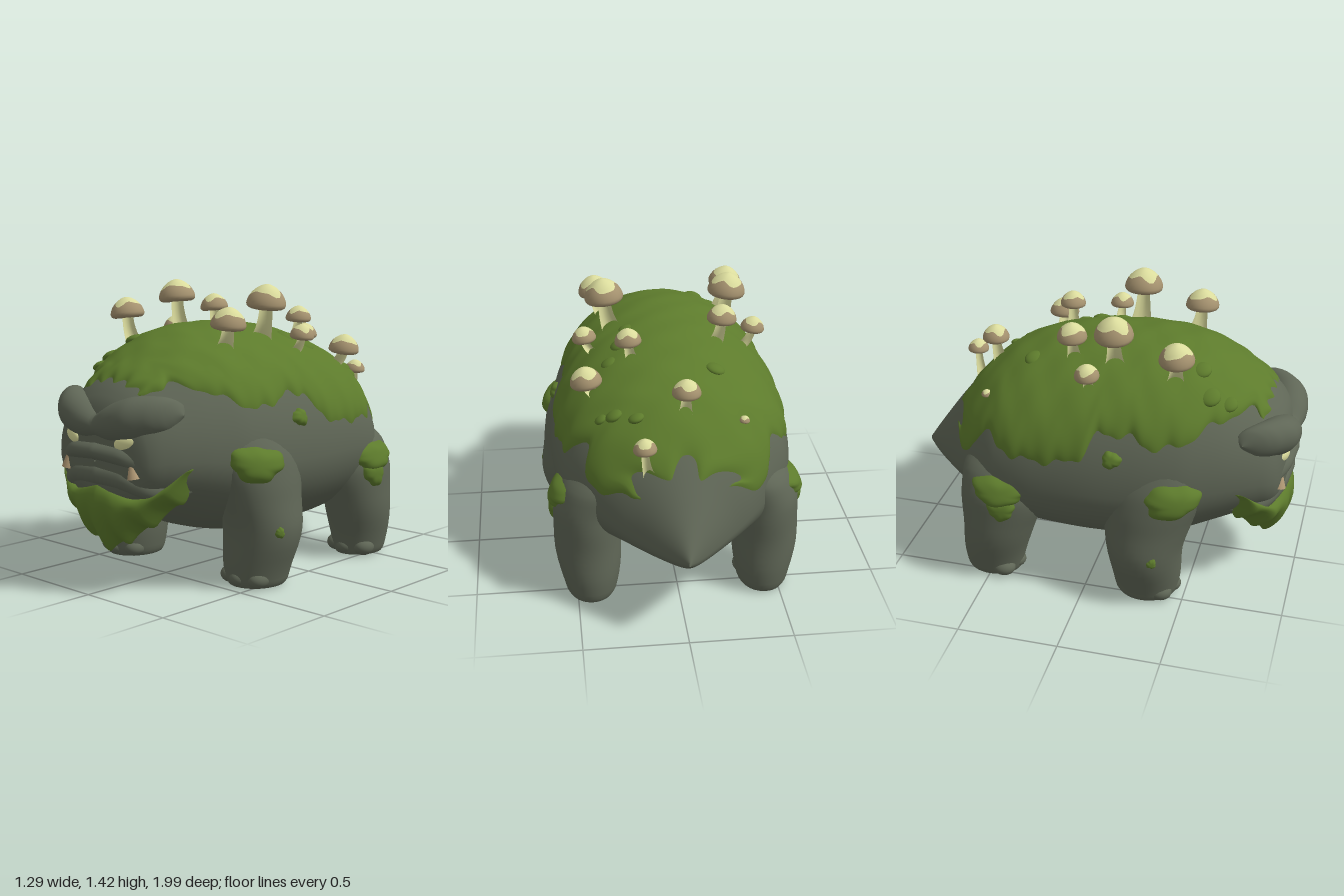
import * as THREE from 'three';
import { mergeVertices } from 'three/addons/utils/BufferGeometryUtils.js';

const mat = (name, color, side = THREE.FrontSide) => {
  const m = new THREE.MeshStandardMaterial({ color, side });
  m.name = name;
  return m;
};
const stone = mat('stone', 0x5f6656, THREE.DoubleSide);
const moss = mat('moss', 0x5d7b2c, THREE.DoubleSide);
const cream = mat('cream', 0xdadb9c);
const capBrown = mat('capBrown', 0xa5926f);
const tuskTan = mat('tuskTan', 0xb29a76);

// Smooth monotone lookup in a table of rows keyed by ascending column 0
function row(tab, k) {
  k = THREE.MathUtils.clamp(k, tab[0][0], tab.at(-1)[0]);
  let i = 0;
  while (i < tab.length - 2 && k > tab[i + 1][0]) i++;
  const sec = (j, c) => (tab[j + 1][c] - tab[j][c]) / (tab[j + 1][0] - tab[j][0]);
  const slope = (j, c) => {
    if (j === 0) return sec(0, c);
    if (j === tab.length - 1) return sec(j - 1, c);
    const a = sec(j - 1, c), b = sec(j, c);
    return a * b <= 0 ? 0 : 2 * a * b / (a + b);
  };
  const h = tab[i + 1][0] - tab[i][0], t = (k - tab[i][0]) / h, s = 1 - t;
  return tab[i].map((p, c) => c === 0 ? k :
    p * (1 + 2 * t) * s * s + h * slope(i, c) * t * s * s +
    tab[i + 1][c] * t * t * (3 - 2 * t) - h * slope(i + 1, c) * t * t * s);
}
// Key for v = 0..1 running from the last row to the first
function keyAt(tab, v) {
  const f = (1 - v) * (tab.length - 1), i = Math.min(Math.floor(f), tab.length - 2);
  return THREE.MathUtils.lerp(tab[i][0], tab[i + 1][0], f - i);
}
// Smooth surface from a rule fn(u, v) -> [x, y, z]
function sheet(fn, nu, nv) {
  const pos = [], idx = [];
  for (let j = 0; j <= nv; j++) for (let i = 0; i <= nu; i++) pos.push(...fn(i / nu, j / nv));
  for (let j = 0; j < nv; j++) for (let i = 0; i < nu; i++) {
    const a = j * (nu + 1) + i, d = a + nu + 1;
    idx.push(a, a + 1, d + 1, a, d + 1, d);
  }
  let g = new THREE.BufferGeometry();
  g.setAttribute('position', new THREE.Float32BufferAttribute(pos, 3));
  g.setIndex(idx);
  g = mergeVertices(g, 1e-5);
  g.computeVertexNormals();
  return g;
}

// Body sections: z, half width, top, bottom, height of the widest point
const BODY = [
  [-1, .005, .445, .425, .435], [-.95, .06, .52, .385, .43], [-.88, .14, .62, .36, .44],
  [-.8, .23, .73, .34, .46], [-.72, .33, .83, .325, .5], [-.6, .45, .955, .28, .55],
  [-.45, .55, 1.065, .22, .58], [-.25, .59, 1.145, .18, .6], [0, .6, 1.195, .17, .6],
  [.25, .585, 1.208, .19, .6], [.45, .55, 1.185, .24, .61], [.6, .49, 1.13, .3, .63],
  [.72, .43, 1.06, .35, .64], [.82, .37, .995, .38, .64], [.89, .31, .925, .42, .63],
  [.93, .2, .84, .48, .63], [.945, .005, .64, .62, .63]];
// Angle a runs from the top of the back towards +x
function bodyPoint(z, a, off = 0) {
  const [, w, top, bot, cy] = row(BODY, z), c = Math.cos(a), s = Math.sin(a);
  return [(w + off) * s, cy + c * ((c > 0 ? top - cy : cy - bot) + off), z];
}
const backHeight = (x, z) => {
  const [, w, top, , cy] = row(BODY, z);
  return cy + (top - cy) * Math.sqrt(Math.max(0, 1 - (x / w) ** 2));
};

// Legs: y, centre x, half width x, centre z, half depth z
const FRONT_LEG = [
  [0, .43, .002, .305, .002], [.004, .43, .13, .305, .145], [.05, .43, .15, .305, .163],
  [.28, .455, .192, .295, .19], [.45, .455, .172, .31, .222], [.6, .44, .165, .33, .25],
  [.75, .38, .16, .35, .22], [.85, .32, .06, .35, .1]];
const HIND_LEG = [
  [0, .43, .002, -.5, .002], [.004, .43, .11, -.5, .135], [.05, .43, .13, -.5, .15],
  [.28, .44, .165, -.465, .185], [.45, .44, .165, -.44, .215], [.58, .4, .165, -.435, .215],
  [.7, .32, .13, -.42, .16], [.76, .27, .05, -.42, .06]];
function legPoint(tab, s, y, a, off = 0) {
  const [, cx, rx, cz, rz] = row(tab, y);
  return [s * (cx + (rx + off) * Math.cos(a)), y, cz + s * (rz + off) * Math.sin(a)];
}
// Wobbly moss blob on a surface rule surf(p, q, offset)
const patch = (surf, p, q, rp, rq, thick = .022) => sheet((u, v) => {
  const a = u * 2 * Math.PI;
  const r = v * (1 + .1 * Math.sin(3 * a + p * 9) + .05 * Math.sin(7 * a + q * 5));
  return surf(p + rp * r * Math.cos(a), q + rq * r * Math.sin(a), thick * (1 - v ** 4) - .008 * v ** 4);
}, 40, 10);

// Symmetric bars across the face: distance from middle, centre y, centre z, half height, half depth
const BROW = [[0, .79, .885, .06, .085], [.1, .812, .895, .09, .095], [.2, .835, .88, .1, .1],
  [.3, .85, .815, .088, .095], [.345, .852, .77, .065, .075], [.375, .852, .74, .002, .002]];
const UPPER_LIP = [[0, .67, .885, .05, .09], [.15, .66, .87, .055, .09], [.25, .63, .835, .06, .08],
  [.33, .585, .78, .05, .065], [.38, .55, .72, .002, .002]];
const LOWER_LIP = [[0, .56, .87, .065, .09], [.15, .55, .86, .065, .085], [.25, .52, .82, .062, .085],
  [.33, .495, .765, .05, .07], [.39, .5, .69, .002, .002]];
const bar = tab => sheet((u, v) => {
  const x = (v * 2 - 1) * tab.at(-1)[0], a = u * 2 * Math.PI;
  const [, y, z, ry, rz] = row(tab, Math.abs(x));
  return [x, y + ry * Math.cos(a), z + rz * Math.sin(a)];
}, 24, 56);

export function createModel() {
  const model = new THREE.Group();
  const add = (name, geo, material, parent = model) => {
    const m = new THREE.Mesh(geo, material);
    m.name = name;
    parent.add(m);
    return m;
  };
  const blob = (name, material, p, r, rot = [0, 0, 0]) => {
    const m = add(name, new THREE.SphereGeometry(1, 24, 16), material);
    m.position.set(...p);
    m.scale.set(...r);
    m.rotation.set(...rot);
  };

  add('body', sheet((u, v) => bodyPoint(keyAt(BODY, v), u * 2 * Math.PI), 56, 64), stone);

  // Moss blanket over the back with a lobed hem: z, hem height
  const HEM = [[-.82, .66], [-.74, .67], [-.66, .61], [-.58, .69], [-.51, .81], [-.42, .73], [-.2, .72],
    [0, .77], [.08, .89], [.2, .89], [.35, .84], [.48, .87], [.6, .94], [.72, .97], [.86, .92]];
  add('mossBlanket', sheet((u, v) => {
    const t = u * 2 - 1, side = Math.sign(t);
    const z = THREE.MathUtils.lerp(.835 + .012 * Math.sin(t * 15), -.75 + .035 * Math.sin(t * 9 + 2), v);
    const [, , top, , cy] = row(BODY, z);
    const y = row(HEM, z)[1] + .014 * Math.sin(z * 37 + side) + .007 * Math.sin(z * 71 + side * 2);
    const edge = Math.acos(THREE.MathUtils.clamp((y - cy) / (top - cy), -1, 1));
    const fall = Math.max(Math.abs(t) ** 14, Math.abs(2 * v - 1) ** 40);
    return bodyPoint(z, t * edge, .02 - .03 * fall + .003 * Math.sin(z * 31) * Math.sin(t * 13));
  }, 60, 130), moss);
  // Tufts
  for (const [x, z, r] of [[-.2, -.33, .05], [.24, -.1, .05], [.3, -.5, .045], [.2, -.55, .04], [-.2, .5, .05],
    [-.3, .56, .055], [-.28, .65, .045], [.2, .02, .04], [.36, -.48, .035], [.3, -.2, .045]])
    blob('mossTuft', moss, [x, backHeight(x, z) + .008, z], [r, r * .5, r], [0, 0, -x * 1.6]);

  for (const s of [1, -1]) {
    const side = s > 0 ? 'left' : 'right';
    for (const [part, tab] of [['FrontLeg', FRONT_LEG], ['HindLeg', HIND_LEG]]) {
      add(side + part, sheet((u, v) => legPoint(tab, s, keyAt(tab, v), u * 2 * Math.PI), 36, 35), stone);
      const [, cx, , cz, rz] = row(tab, .05);
      for (const k of [-1, 0, 1])
        blob(side + part + 'Toe', stone, [s * (cx + k * .085), .045, cz + rz - .048 - .03 * k * k], [.052, .044, .06]);
    }
    // Moss on shoulders, hips and flanks
    const fore = (y, a, o) => legPoint(FRONT_LEG, s, y, a, o);
    const hind = (y, a, o) => legPoint(HIND_LEG, s, y, a, o);
    add(side + 'ShoulderMoss', patch(fore, .615, s * .58, .088, .68, .035), moss);
    add(side + 'LegMoss', patch(fore, .285, s * .4, .03, .14, .012), moss);
    add(side + 'HipMoss', patch(hind, .54, s * .12, .075, .75, .035), moss);
    add(side + 'HipMossDrip', patch(hind, .45, s * .2, .07, .35, .022), moss);
    add(side + 'FlankMoss', patch((z, a, o) => bodyPoint(z, a, o), .15, s * 1.24, .05, .075), moss);

    // Eyes and tusks
    blob(side + 'Eye', cream, [s * .183, .724, .913], [.066, .036, .024], [0, s * .3, s * .2]);
    const tusk = add(side + 'Tusk', new THREE.CylinderGeometry(.016, .034, .066, 12), tuskTan);
    tusk.position.set(s * .223, .597, .91);
    tusk.rotation.z = s * .2;
  }
  add('brow', bar(BROW), stone);
  add('upperLip', bar(UPPER_LIP), stone);
  add('lowerLip', bar(LOWER_LIP), stone);

  // Beard, a row of closed cross-sections from side to side
  const BEARD_TOP = [[0, .52], [.1, .49], [.2, .465], [.3, .5], [.37, .56], [.43, .62]];
  add('mossBeard', sheet((u, v) => {
    const x = (v * 2 - 1) * .425, ax = Math.abs(x), a = u * 2 * Math.PI;
    const top = row(BEARD_TOP, ax)[1];
    const hang = .18 + .3 * (ax / .4) ** 1.5 + .035 * Math.abs(Math.sin(x * 26));
    const bottom = THREE.MathUtils.lerp(hang, top - .01, THREE.MathUtils.smoothstep(ax, .36, .425));
    const low = (1 - Math.cos(a)) / 2, thin = Math.sqrt(Math.max(0, 1 - (ax / .425) ** 8));
    return [x, (top + bottom) / 2 + (top - bottom) / 2 * Math.cos(a),
      .915 - .96 * x * x - .07 * low * low + thin * .065 * Math.sin(a) * (1 - .3 * low) + .01 * low * Math.cos(x * 52)];
  }, 24, 90), moss);

  // Mushrooms: x, z, cap radius, cap top
  const MUSHROOMS = [
    [.18, -.77, .055, .97], [-.03, -.59, .068, 1.17], [.42, -.36, .077, 1.15], [.21, -.25, .065, 1.29],
    [-.26, -.12, .073, 1.34], [-.435, 0, .06, 1.22], [.41, -.04, .06, 1.22], [.3, .1, .097, 1.415],
    [-.315, .1, .094, 1.42], [.33, .4, .085, 1.32], [-.355, .41, .085, 1.34], [-.31, -.55, .026, .95]];
  MUSHROOMS.forEach(([x, z, r, top], n) => {
    const g = new THREE.Group();
    g.name = 'mushroom';
    model.add(g);
    const h = r, bx = x * .84, bz = z * .96, y = top - h;
    const base = new THREE.Vector3(bx, backHeight(bx, bz) - .02, bz);
    const tip = new THREE.Vector3(x, y + h * .2, z);
    const bend = new THREE.Vector3(x, THREE.MathUtils.lerp(base.y, tip.y, .4), z);
    const path = new THREE.QuadraticBezierCurve3(base, bend, tip);
    add('stem', sheet((u, v) => {
      const p = path.getPoint(1 - v), a = u * 2 * Math.PI, q = r * (.32 + .28 * v * v);
      return [p.x + q * Math.sin(a), p.y, p.z + q * Math.cos(a)];
    }, 14, 10), cream, g);
    const cap = new THREE.Group();
    cap.name = 'cap';
    cap.position.set(x, y, z);
    cap.rotation.z = -x * .35;
    g.add(cap);
    const border = a => .92 + .14 * Math.sin(3 * a + n) + .07 * Math.sin(5 * a + n * 2);
    const dome = (a, f) => {
      const q = r * Math.sin(f) ** 1.2;
      return [q * Math.cos(a), h * Math.cos(f) ** 1.15, q * Math.sin(a)];
    };
    add('crown', sheet((u, v) => dome(u * 2 * Math.PI, v * border(u * 2 * Math.PI)), 24, 6), cream, cap);
    // Brown rim curling under to the gills
    add('rim', sheet((u, v) => {
      const a = u * 2 * Math.PI;
      if (v <= .5) return dome(a, THREE.MathUtils.lerp(border(a), Math.PI / 2 - 1e-4, v / .5));
      const k = (v - .5) / .5, q = r * (1 - .78 * k * k);
      return [q * Math.cos(a), -h * .24 * Math.sin(k * 2.4), q * Math.sin(a)];
    }, 24, 14), capBrown, cap);
  });
  return model;
}
